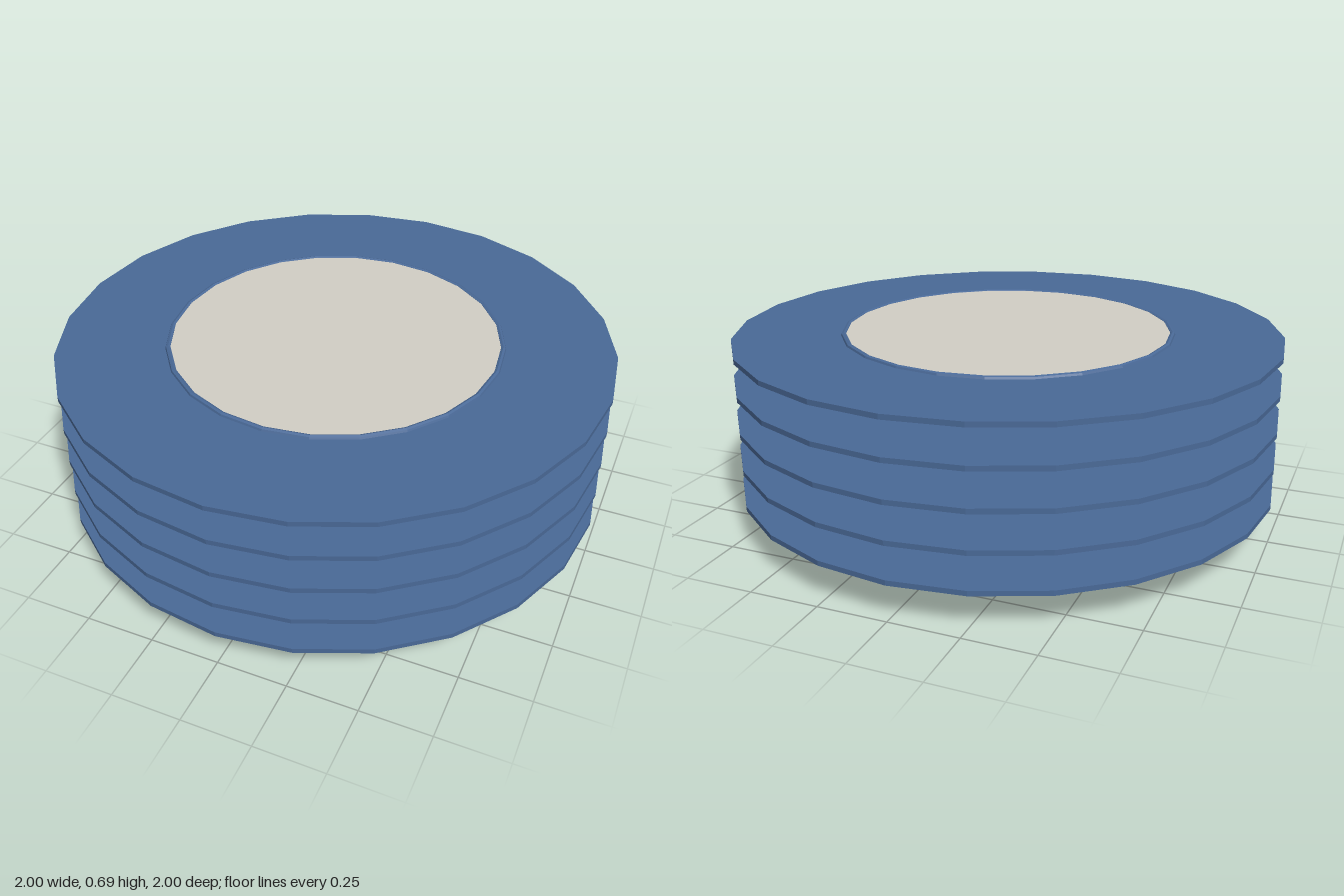
import * as THREE from 'three';

const SIDES = 24;

export function createModel() {
  const model = new THREE.Group();
  model.name = 'finnedDrum';
  const blue = new THREE.MeshStandardMaterial({ color: 0x4a6a98, flatShading: true });
  const cream = new THREE.MeshStandardMaterial({ color: 0xd4d0c6, flatShading: true });

  const add = (name, geometry, material, y) => {
    const mesh = new THREE.Mesh(geometry, material);
    mesh.name = name;
    mesh.position.y = y;
    model.add(mesh);
    return mesh;
  };

  // Central drum
  add('core', new THREE.CylinderGeometry(0.6, 0.6, 0.685, SIDES), blue, 0.3425);

  // Five flared fins: flat underside, sloping flank, thin rim, flat top
  const finProfile = [[0.59, 0], [0.66, 0], [1, 0.088], [1, 0.106], [0.59, 0.106]]
    .map(([r, y]) => new THREE.Vector2(r, y));
  const finGeometry = new THREE.LatheGeometry(finProfile, SIDES);
  for (let i = 0; i < 5; i++) add(`fin${i + 1}`, finGeometry, blue, 0.039 + i * 0.135);

  // Thin round lip around the top
  const lip = new THREE.TorusGeometry(0.6, 0.011, 8, SIDES);
  lip.rotateX(-Math.PI / 2);
  add('topLip', lip, blue, 0.684);

  // Pale inset cap
  add('topCap', new THREE.CylinderGeometry(0.595, 0.595, 0.01, SIDES), cream, 0.686);

  return model;
}
